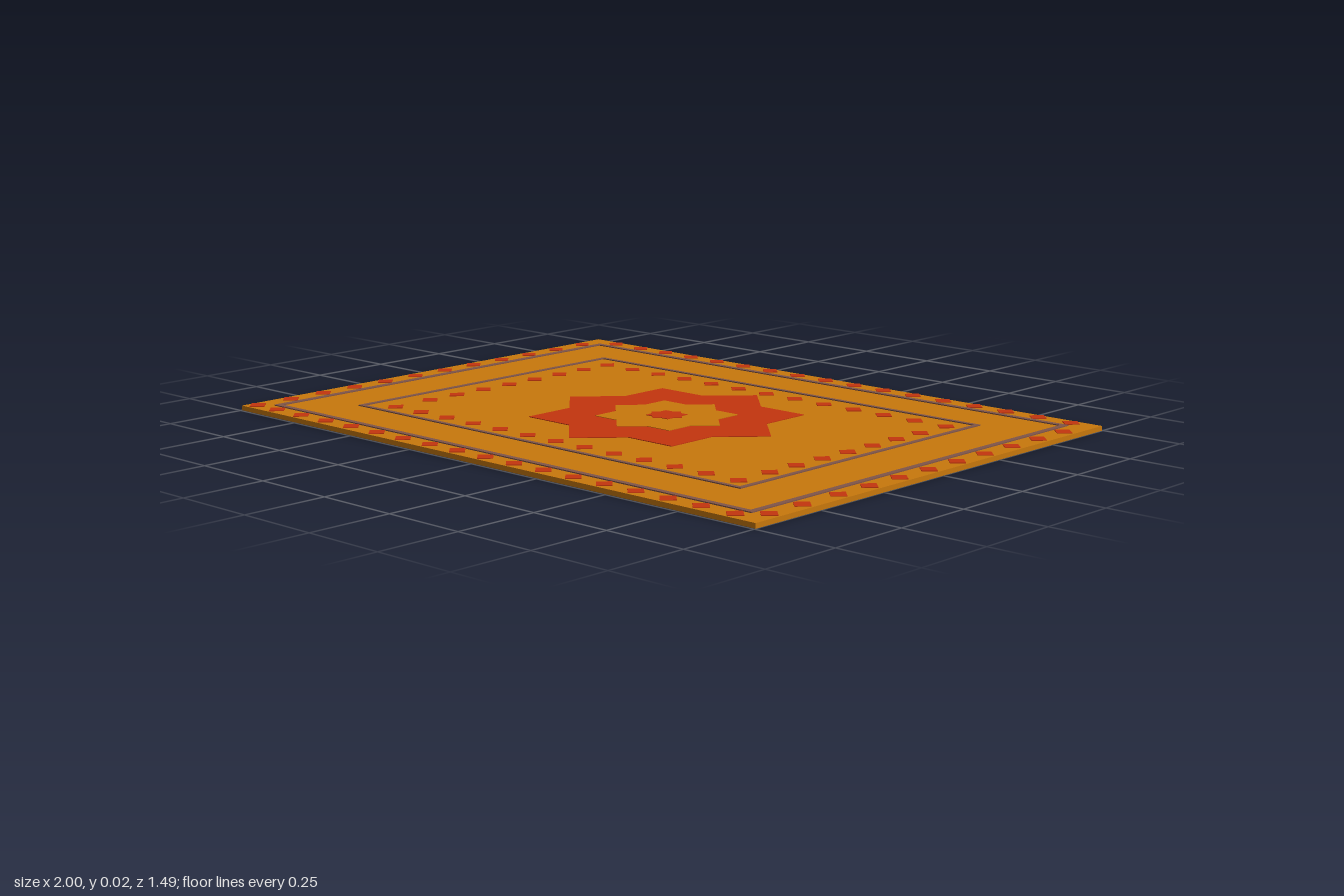
import * as THREE from 'three';

const OCHRE = new THREE.MeshStandardMaterial({ color: 0xc8780c });
const RED = new THREE.MeshStandardMaterial({ color: 0xc4350e });
const PURPLE = new THREE.MeshStandardMaterial({ color: 0x80564a });
const BASE_TOP = 0.014;

// Lay a flat shape on the rug, rising from the base to the given height
function addLayer(parent, name, shape, top, material, x = 0, z = 0) {
  const depth = top - BASE_TOP + 0.002;
  const geometry = new THREE.ExtrudeGeometry(shape, { depth, bevelEnabled: false });
  geometry.rotateX(-Math.PI / 2);
  const mesh = new THREE.Mesh(geometry, material);
  mesh.name = name;
  mesh.position.set(x, top - depth, z);
  parent.add(mesh);
}

const rectPoints = (w, d) => [[-w, -d], [w, -d], [w, d], [-w, d]].map(([x, y]) => new THREE.Vector2(x, y));

// Rectangular outline from outer half sizes and line width
function frameShape(w, d, line) {
  const shape = new THREE.Shape(rectPoints(w, d));
  shape.holes.push(new THREE.Path(rectPoints(w - line, d - line).reverse()));
  return shape;
}

// Eight-pointed star formed by two overlapping squares
function starShape(radius) {
  const inner = radius * Math.SQRT1_2 / Math.cos(Math.PI / 8);
  const points = [];
  for (let i = 0; i < 16; i++) {
    const r = i % 2 ? inner : radius, a = i * Math.PI / 8;
    points.push(new THREE.Vector2(r * Math.cos(a), r * Math.sin(a)));
  }
  return new THREE.Shape(points);
}

export function createModel() {
  const rug = new THREE.Group();
  rug.name = 'rug';

  // Woven base
  const base = new THREE.Mesh(new THREE.BoxGeometry(2, BASE_TOP, 1.49), OCHRE);
  base.name = 'base';
  base.position.y = BASE_TOP / 2;
  rug.add(base);

  // Border lines
  addLayer(rug, 'outerBorderLine', frameShape(0.93, 0.68, 0.017), 0.017, PURPLE);
  addLayer(rug, 'innerBorderLine', frameShape(0.747, 0.513, 0.013), 0.017, PURPLE);

  // Central medallion of stacked stars
  addLayer(rug, 'largeStar', starShape(0.396), 0.016, RED, 0.012);
  addLayer(rug, 'middleStar', starShape(0.206), 0.0175, OCHRE, 0.012);
  addLayer(rug, 'smallStar', starShape(0.06), 0.019, RED, 0.012);

  // Rows of diamonds: start x, z, end x, z, count
  const diamond = new THREE.Shape([[0.03, 0], [0, 0.03], [-0.03, 0], [0, -0.03]].map(([x, y]) => new THREE.Vector2(x, y)));
  const rows = {
    outerBackDiamonds: [-0.888, -0.716, 0.915, -0.716, 17],
    outerFrontDiamonds: [-0.877, 0.711, 0.904, 0.711, 17],
    outerRightDiamonds: [-0.968, -0.636, -0.968, 0.711, 12],
    outerLeftDiamonds: [0.965, -0.604, 0.965, 0.39, 9],
    outerLeftCornerDiamonds: [0.965, 0.53, 0.965, 0.655, 2],
    innerBackDiamonds: [-0.655, -0.436, 0.684, -0.436, 13],
    innerFrontDiamonds: [-0.655, 0.449, 0.684, 0.449, 13],
    innerRightDiamonds: [-0.655, -0.33, -0.655, 0.315, 7],
    innerLeftDiamonds: [0.684, -0.316, 0.684, 0.326, 7],
  };
  for (const [name, [x0, z0, x1, z1, count]] of Object.entries(rows)) {
    const row = new THREE.Group();
    row.name = name;
    for (let i = 0; i < count; i++) {
      const t = i / (count - 1);
      addLayer(row, 'diamond', diamond, 0.016, RED, x0 + (x1 - x0) * t, z0 + (z1 - z0) * t);
    }
    rug.add(row);
  }
  return rug;
}
